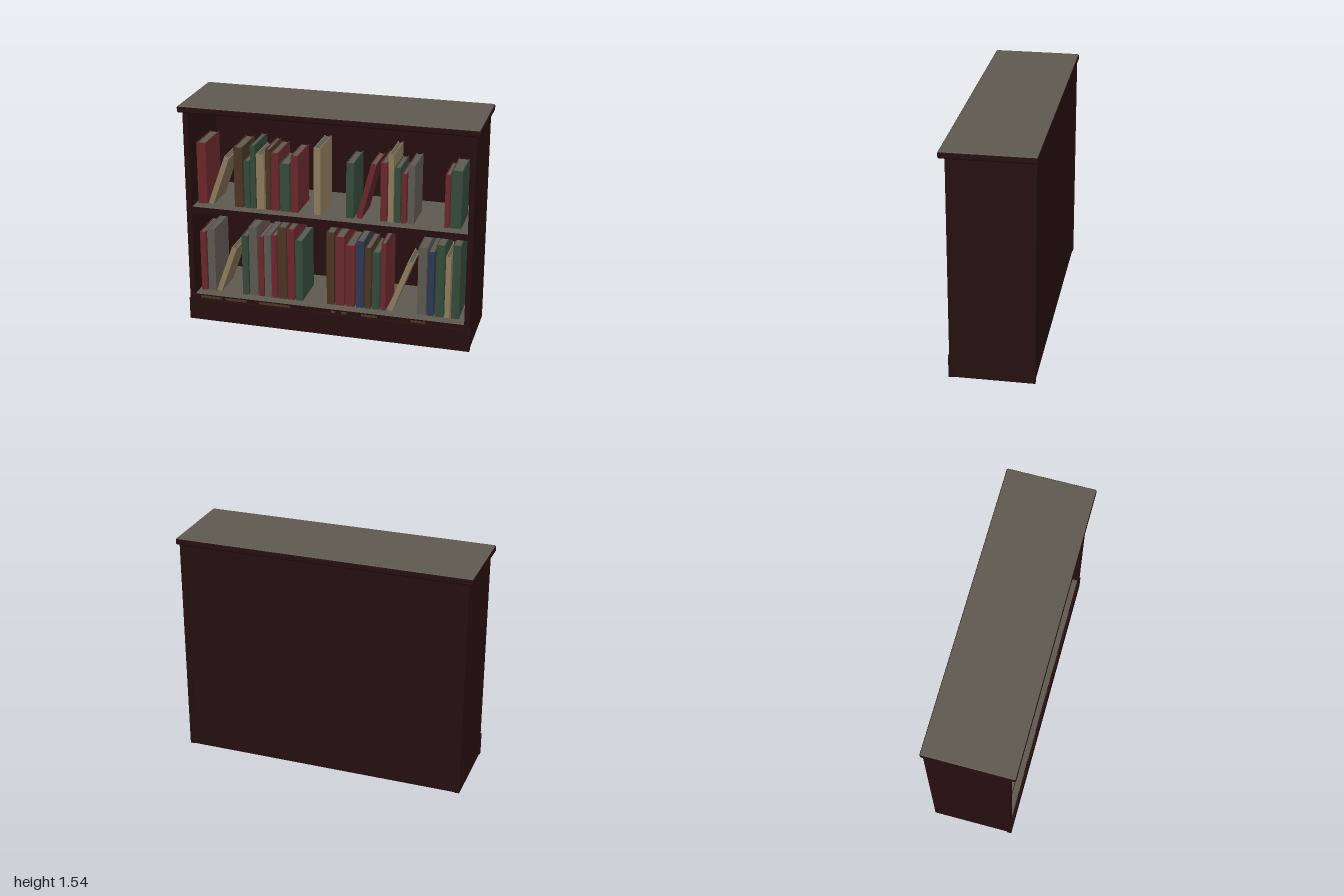
import * as THREE from 'three';
import { RoundedBoxGeometry } from 'three/addons/geometries/RoundedBoxGeometry.js';

const mat = (name, color) => {
  const m = new THREE.MeshStandardMaterial({ color });
  m.name = name;
  return m;
};

export function createModel() {
  const wood = mat('dark wood', 0x260f0f);
  const grey = mat('dusty grey', 0x5f5a50);
  const covers = {
    r: mat('red cloth', 0x6a282c),
    g: mat('green cloth', 0x344a3a),
    t: mat('tan cloth', 0x8e7b5c),
    b: mat('brown leather', 0x4b3523),
    u: mat('blue cloth', 0x2e3850),
    y: mat('grey cloth', 0x5c5750),
  };
  const root = new THREE.Group();
  root.name = 'bookcase';

  // Box given by its low and high limits on each axis
  const box = (name, x0, x1, y0, y1, z0, z1, m, parent = root) => {
    const mesh = new THREE.Mesh(new THREE.BoxGeometry(x1 - x0, y1 - y0, z1 - z0), m);
    mesh.position.set((x0 + x1) / 2, (y0 + y1) / 2, (z0 + z1) / 2);
    mesh.name = name;
    parent.add(mesh);
    return mesh;
  };
  const greyTop = [wood, wood, grey, wood, wood, wood];

  // Carcass
  for (const s of [-1, 1]) {
    const x = s * 0.957;
    box(s > 0 ? 'leftSide' : 'rightSide', x - 0.018, x + 0.018, 0, 1.505, -0.29, 0.26, wood);
    // Skirting returns at the front corners
    box('plinthReturn', s * 0.977 - 0.003, s * 0.977 + 0.003, 0, 0.155, 0.235, 0.265, wood);
  }
  box('backPanel', -0.94, 0.94, 0, 1.505, -0.285, -0.265, wood);
  box('plinth', -0.98, 0.98, 0, 0.155, 0.236, 0.266, wood);
  box('bottomShelf', -0.94, 0.94, 0.14, 0.185, -0.265, 0.25, greyTop);
  box('middleShelf', -0.94, 0.94, 0.785, 0.83, -0.265, 0.25, greyTop);

  // Top board with softened edges
  const top = new THREE.Mesh(new RoundedBoxGeometry(2, 0.045, 0.6, 3, 0.012), greyTop);
  top.position.y = 1.5225;
  top.name = 'topBoard';
  root.add(top);

  // Worn patches on the bottom shelf edge
  for (const [x0, x1] of [[-0.9, -0.75], [-0.72, -0.57], [-0.48, -0.26], [0.03, 0.06], [0.1, 0.14], [0.24, 0.35], [0.58, 0.68]])
    box('wornPatch', x0, x1, 0.16, 0.176, 0.25, 0.253, covers.b);

  // A book: two boards and a spine wrapped round a block of pages; origin at its bottom right corner
  const FRONT = 0.175;
  function addBook(x0, x1, base, height, depth, colour, lean = 0) {
    const w = x1 - x0, t = 0.005, m = covers[colour];
    const book = new THREE.Group();
    book.name = lean ? 'leaningBook' : 'book';
    box('spine', -w, 0, 0, height, -t, 0, m, book);
    box('coverLeft', -w, -w + t, 0, height, -depth, -t, m, book);
    box('coverRight', -t, 0, 0, height, -depth, -t, m, book);
    box('pages', -w + t, -t, 0.004, height - 0.006, -depth + 0.006, -t, grey, book);
    book.position.set(x1, base, FRONT);
    book.rotation.z = -lean;
    root.add(book);
  }

  // Each entry: left x, right x, top y, cloth
  const rows = [
    [0.83, [
      [-0.92, -0.855, 1.262, 'r'], [-0.66, -0.6, 1.252, 'b'], [-0.59, -0.553, 1.165, 'g'],
      [-0.545, -0.512, 1.275, 'g'], [-0.504, -0.45, 1.217, 't'], [-0.44, -0.408, 1.255, 'b'],
      [-0.4, -0.35, 1.237, 'r'], [-0.34, -0.275, 1.167, 'g'], [-0.265, -0.215, 1.228, 'r'],
      [-0.107, -0.06, 1.296, 't'], [0.114, 0.165, 1.214, 'g'], [0.344, 0.387, 1.237, 'r'],
      [0.395, 0.43, 1.296, 't'], [0.436, 0.476, 1.21, 'g'], [0.484, 0.516, 1.172, 'r'],
      [0.526, 0.57, 1.234, 'y'], [0.77, 0.802, 1.195, 'r'], [0.808, 0.88, 1.226, 'g'],
    ]],
    [0.185, [
      [-0.92, -0.88, 0.62, 'r'], [-0.868, -0.815, 0.645, 'y'], [-0.62, -0.577, 0.622, 'g'],
      [-0.567, -0.511, 0.692, 'y'], [-0.502, -0.466, 0.628, 'r'], [-0.46, -0.414, 0.646, 'y'],
      [-0.408, -0.372, 0.648, 'r'], [-0.363, -0.303, 0.712, 'b'], [-0.296, -0.248, 0.705, 'r'],
      [-0.24, -0.19, 0.628, 'g'], [-0.02, 0.032, 0.712, 'b'], [0.04, 0.1, 0.687, 'r'],
      [0.11, 0.172, 0.632, 'r'], [0.184, 0.236, 0.67, 'u'], [0.244, 0.286, 0.63, 'b'],
      [0.296, 0.345, 0.604, 'g'], [0.355, 0.387, 0.674, 'r'], [0.605, 0.663, 0.67, 'y'],
      [0.67, 0.714, 0.647, 'u'], [0.724, 0.782, 0.702, 'g'], [0.79, 0.824, 0.626, 't'],
      [0.835, 0.887, 0.712, 'g'],
    ]],
  ];
  for (const [base, books] of rows)
    for (const [x0, x1, y, c] of books) addBook(x0, x1, base, y - base, 0.15 + 0.28 * (y - base), c);

  // Leaning books: foot x, base, length, lean, cloth
  for (const [x, base, len, lean, c] of [
    [-0.812, 0.83, 0.36, 0.34, 't'], [0.217, 0.83, 0.4, 0.25, 'r'],
    [-0.775, 0.185, 0.35, 0.34, 't'], [0.434, 0.185, 0.39, 0.36, 't'],
  ]) addBook(x - 0.036, x, base, len, 0.24, c, lean);

  return root;
}
